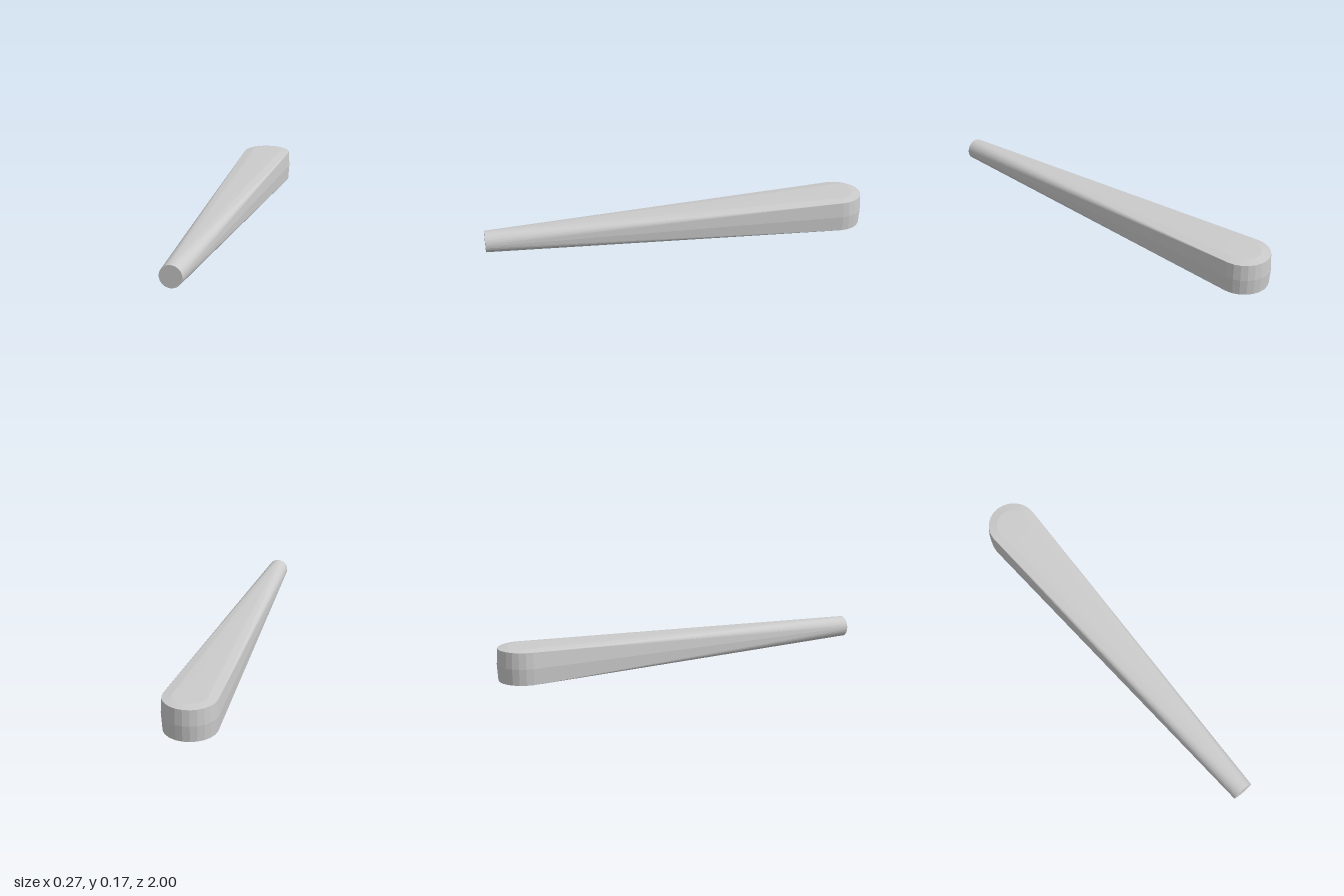
import * as THREE from 'three';
import { ConvexGeometry } from 'three/addons/geometries/ConvexGeometry.js';

// Points evenly spaced around a circle, placed by a function of (cos, sin)
function ring(count, place) {
  return Array.from({ length: count }, (_, i) => {
    const a = (i / count) * Math.PI * 2;
    return place(Math.cos(a), Math.sin(a));
  });
}

export function createModel() {
  const group = new THREE.Group();
  const material = new THREE.MeshStandardMaterial({ color: 0xcccccc, flatShading: true });

  // Round, slightly bulging head lying flat: [height, radius] from bottom to top
  const headZ = -0.865;
  const headProfile = [[0, 0.13], [0.081, 0.135], [0.161, 0.13], [0.168, 0.085]];
  const points = headProfile.flatMap(([y, r]) =>
    ring(24, (c, s) => new THREE.Vector3(r * c, y, headZ + r * s)));

  // Small upright disc at the narrow tip
  const tipRadius = 0.055;
  points.push(...ring(32, (c, s) =>
    new THREE.Vector3(tipRadius * c, 0.081 + tipRadius * s, 1)));

  // Tapered body wraps the head and the tip in one skin
  const body = new THREE.Mesh(new ConvexGeometry(points), material);
  body.name = 'taperedHandle';
  group.add(body);
  return group;
}
